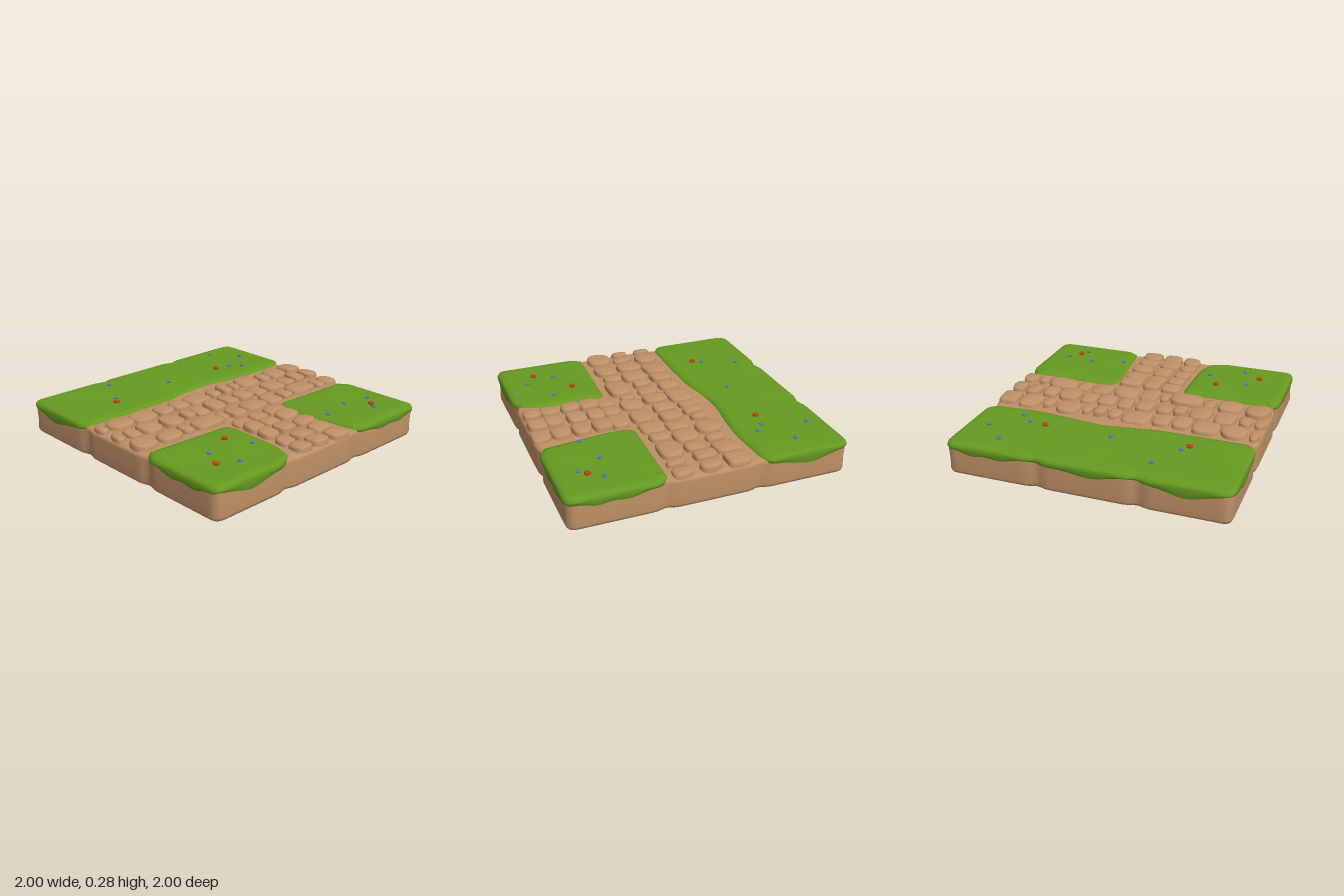
import * as THREE from 'three';
import { mergeGeometries } from 'three/addons/utils/BufferGeometryUtils.js';

const material = (name, color) => {
  const m = new THREE.MeshStandardMaterial({ color });
  m.name = name;
  return m;
};

// small seeded generator
function seeded(s) {
  return () => {
    s = (s * 16807) % 2147483647;
    return s / 2147483647;
  };
}

// closed outline with rounded corners, evenly sampled; y of each Vector2 is z
function roundedOutline(corners, radius, count) {
  const pts = corners.map(([x, z]) => new THREE.Vector2(x, z));
  const path = new THREE.Path();
  pts.forEach((p, i) => {
    const prev = pts[(i + pts.length - 1) % pts.length], next = pts[(i + 1) % pts.length];
    const r = Math.min(radius, p.distanceTo(prev) / 2, p.distanceTo(next) / 2);
    const a = p.clone().add(prev.clone().sub(p).setLength(r));
    const b = p.clone().add(next.clone().sub(p).setLength(r));
    if (i === 0) path.moveTo(a.x, a.y); else path.lineTo(a.x, a.y);
    path.quadraticCurveTo(p.x, p.y, b.x, b.y);
  });
  path.closePath();
  return path.getSpacedPoints(count).slice(0, -1);
}

// worn dents in the outer edges where the path meets the lawns
function dentEdges(points) {
  const g = (v) => Math.exp(-((v / 0.045) ** 2));
  points.forEach((p) => {
    const { x, y: z } = p;
    if (Math.abs(z) > 0.96) p.y *= 1 - 0.022 * (g(x + 0.37) + g(x - 0.33));
    if (Math.abs(x) > 0.96) p.x *= 1 - 0.022 * (g(z + 0.33) + g(z - 0.33));
  });
  return points;
}

// stacks rings of an outline (inset, scale, height) and closes the top
function stackRings(outline, rings, closeBottom = false) {
  const n = outline.length, pos = [], index = [];
  const c = outline.reduce((s, p) => s.add(p), new THREE.Vector2()).divideScalar(n);
  const height = (y, x, z) => (typeof y === 'function' ? y(x, z) : y);
  for (const { inset = 0, scale = 1, y } of rings) {
    outline.forEach((p, i) => {
      const t = outline[(i + 1) % n].clone().sub(outline[(i + n - 1) % n]).normalize();
      const x = c.x + (p.x - t.y * inset - c.x) * scale;
      const z = c.y + (p.y + t.x * inset - c.y) * scale;
      pos.push(x, height(y, x, z), z);
    });
  }
  const last = (rings.length - 1) * n;
  const top = pos.length / 3;
  pos.push(c.x, height(rings.at(-1).y, c.x, c.y), c.y);
  pos.push(c.x, height(rings[0].y, c.x, c.y), c.y);
  for (let i = 0; i < n; i++) {
    const j = (i + 1) % n;
    for (let r = 0; r < last; r += n) {
      index.push(r + i, r + n + i, r + j, r + j, r + n + i, r + n + j);
    }
    index.push(last + i, top, last + j);
    if (closeBottom) index.push(i, j, top + 1);
  }
  const geo = new THREE.BufferGeometry();
  geo.setAttribute('position', new THREE.Float32BufferAttribute(pos, 3));
  geo.setIndex(index);
  geo.computeVertexNormals();
  return geo;
}

const lawnHeight = (x, z) => 0.247 + 0.006 * Math.sin(8 * x + 2) * Math.cos(9 * z + x * 4);

// lower edge of the turf: hangs down the outer sides, stays level along the path
function turfEdge(x, z) {
  if (Math.max(Math.abs(x), Math.abs(z)) < 0.955) return 0.212;
  const s = Math.abs(z) > Math.abs(x) ? x : z;
  const dip = (at, w, d) => d * Math.exp(-(((s - at) / w) ** 2));
  return 0.205 - dip(-0.68, 0.14, 0.06) - dip(0.57, 0.12, 0.03) - dip(0.8, 0.09, 0.04)
    - dip(0, 0.2, 0.035) + 0.007 * Math.sin(s * 17);
}

export function createModel() {
  const model = new THREE.Group();
  const rand = seeded(7321);
  const vary = (amount) => (rand() - 0.5) * amount;
  const dirt = material('tan earth', 0xbf9066);
  const grass = material('grass green', 0x669a20);
  const red = material('flower red', 0xc83a14);
  const blue = material('flower blue', 0x4676d6);
  const add = (name, geo, mat) => {
    const mesh = new THREE.Mesh(geo, mat);
    mesh.name = name;
    model.add(mesh);
  };

  // earth slab
  const e = 0.992;
  const slab = dentEdges(roundedOutline([[e, -e], [e, e], [-e, e], [-e, -e]], 0.07, 240));
  const ripple = (x, z) => 0.225 + 0.003 * Math.sin(14 * x) * Math.sin(17 * z);
  add('earthSlab', stackRings(slab, [
    { inset: 0.03, scale: 0.93, y: 0 }, { inset: 0.03, y: 0.002 }, { inset: 0.01, y: 0.012 },
    { y: 0.035 }, { inset: 0.004, y: 0.11 }, { y: 0.195 }, { inset: 0.008, y: 0.215 },
    { inset: 0.03, y: 0.225 }, { scale: 0.9, y: ripple }, { scale: 0.5, y: ripple },
  ], true), dirt);

  // three lawns with turf hanging over the slab sides
  const lawns = {
    backLawn: [[1, -1], [1, -0.35], [0.6, -0.32], [0.1, -0.38], [-0.3, -0.32], [-1, -0.32], [-1, -1]],
    frontLeftLawn: [[1, 0.31], [1, 1], [0.32, 1], [0.26, 0.5], [0.27, 0.29]],
    frontRightLawn: [[-0.26, 0.33], [-0.27, 0.8], [-0.34, 1], [-1, 1], [-1, 0.3]],
  };
  for (const [name, corners] of Object.entries(lawns)) {
    const outline = dentEdges(roundedOutline(corners, 0.08, 150));
    add(name, stackRings(outline, [
      { inset: 0.016, y: turfEdge }, { y: turfEdge }, { y: 0.218 }, { inset: 0.01, y: 0.236 },
      { inset: 0.035, y: 0.245 }, { scale: 0.8, y: lawnHeight }, { scale: 0.55, y: lawnHeight },
      { scale: 0.28, y: lawnHeight },
    ]), grass);
  }

  // one domed, slightly tilted cobblestone with a squarish outline
  function cobblestone(x, z, w, d) {
    const power = 0.5 + rand() * 0.35, phase = rand() * 6, tx = vary(0.12), tz = vary(0.12);
    const bend = (v) => Math.sign(v) * Math.abs(v) ** power;
    const outline = Array.from({ length: 22 }, (_, i) => {
      const a = (i / 22) * Math.PI * 2;
      const k = 0.5 + 0.025 * Math.sin(2 * a + phase) + 0.015 * Math.sin(3 * a);
      return new THREE.Vector2(x + w * k * bend(Math.cos(a)), z + d * k * bend(Math.sin(a)));
    });
    const h = 0.252 + rand() * 0.014;
    const tilt = (y) => (px, pz) => y + (px - x) * tx + (pz - z) * tz;
    return stackRings(outline, [
      { y: 0.215 }, { scale: 0.98, y: tilt(h - 0.015) }, { scale: 0.9, y: tilt(h - 0.004) },
      { scale: 0.7, y: tilt(h) }, { scale: 0.35, y: tilt(h + 0.003) },
    ]);
  }

  // rows of cobblestones, each stone filling the slot between two joints
  const stones = [];
  const layRow = (z, maxDepth, joints) => joints.slice(1).forEach((end, i) => {
    const w = end - joints[i] - 0.015;
    const d = Math.min(maxDepth, 0.07 + 0.75 * w);
    stones.push(cobblestone((end + joints[i]) / 2, z + vary(0.03), w, d));
  });
  layRow(-0.19, 0.19, [-0.99, -0.9, -0.7, -0.5, -0.35, -0.2, 0.02, 0.13, 0.24, 0.33, 0.54, 0.65, 0.83, 0.99]);
  layRow(0, 0.19, [-0.99, -0.9, -0.78, -0.6, -0.41, -0.3, -0.17, -0.01, 0.13, 0.28, 0.42, 0.6, 0.73, 0.86, 0.99]);
  layRow(0.19, 0.18, [-0.99, -0.78, -0.58, -0.47, -0.22, -0.14, 0.02, 0.23, 0.4, 0.52, 0.76, 0.86, 0.99]);
  for (const z of [0.36, 0.49, 0.63, 0.79, 0.92]) {
    layRow(z, 0.14, [-0.25, -0.1 + vary(0.03), 0.07 + vary(0.03), 0.25]);
  }
  add('cobblestones', mergeGeometries(stones), dirt);

  // grass tufts: bunches of narrow three-sided blades
  const blades = [];
  function addBlade(x, z, h) {
    const blade = new THREE.ConeGeometry(0.008, h, 3).translate(0, h / 2, 0);
    blade.rotateY(rand() * 6).rotateX(vary(0.6)).rotateZ(vary(0.6));
    blades.push(blade.translate(x, 0.242, z));
  }
  function addTufts(count, x, z, width, depth) {
    for (let t = 0; t < count; t++) {
      const tx = x + vary(width), tz = z + vary(depth);
      for (let i = 0; i < 6; i++) addBlade(tx + vary(0.075), tz + vary(0.075), 0.03 + rand() * 0.03);
    }
  }
  addTufts(9, -0.63, -0.7, 0.62, 0.32);
  addTufts(9, 0.56, -0.68, 0.74, 0.3);
  addTufts(8, -0.68, 0.66, 0.46, 0.3);
  addTufts(8, 0.64, 0.72, 0.5, 0.36);
  addBlade(-0.93, -0.9, 0.085);

  // flower heads
  const flowers = (name, spots, radius, mat) => add(name, mergeGeometries(spots.map(([x, z]) =>
    new THREE.SphereGeometry(radius, 8, 5).scale(1, 0.5, 1).translate(x, lawnHeight(x, z) + 0.012, z))), mat);
  flowers('redFlowers', [[-0.58, -0.52], [0.45, -0.56], [-0.48, 0.52], [-0.77, 0.75], [0.75, 0.78]], 0.024, red);
  flowers('blueFlowers', [[-0.42, -0.83], [-0.54, -0.58], [-0.04, -0.57], [0.66, -0.85], [0.83, -0.67],
    [0.58, -0.54], [0.66, -0.47], [-0.7, 0.61], [-0.39, 0.69], [-0.64, 0.83], [0.6, 0.65], [0.82, 0.69],
    [0.35, 0.71], [0.71, 0.83]], 0.017, blue);

  return model;
}
